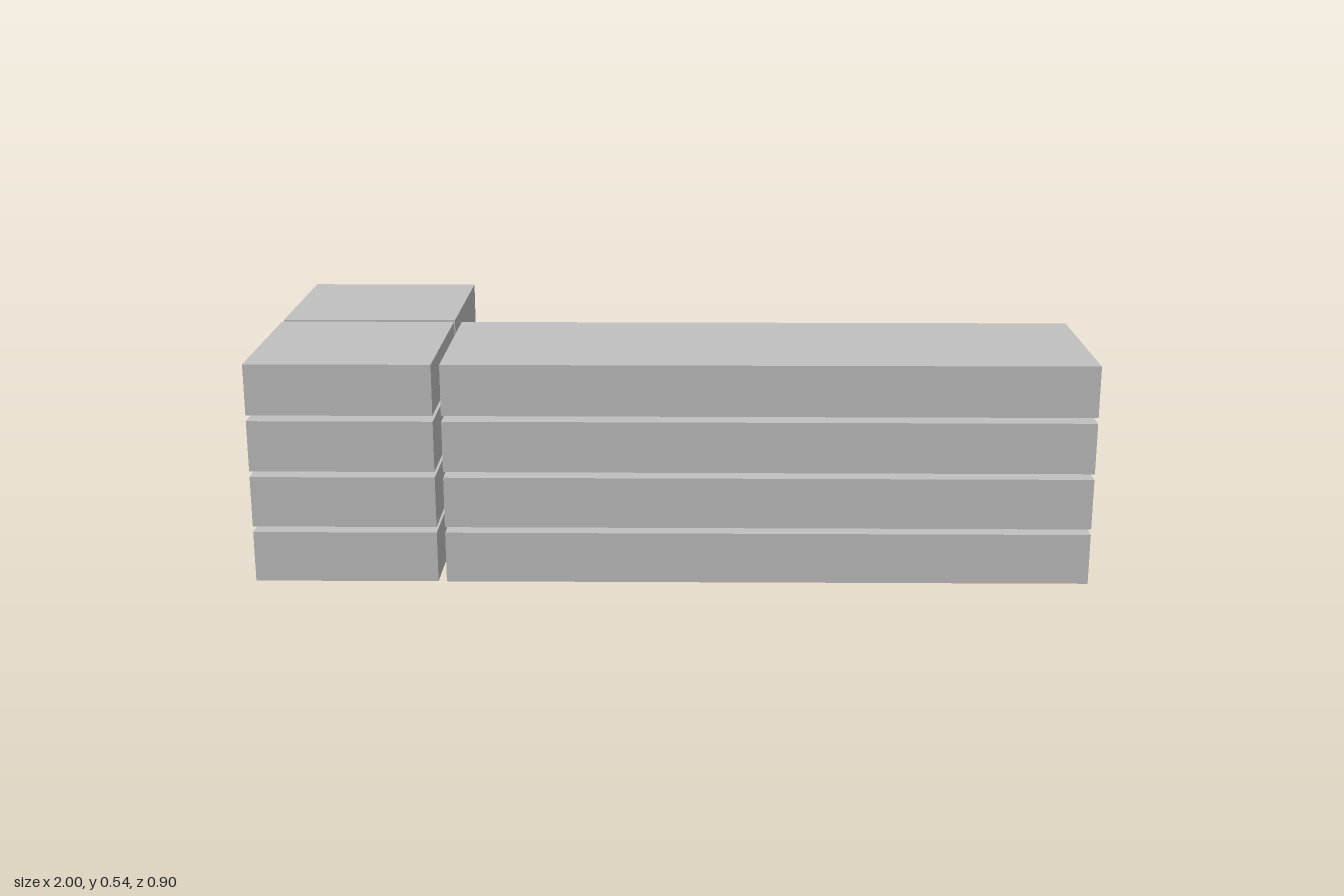
import * as THREE from 'three';

export function createModel() {
  const model = new THREE.Group();
  model.name = 'stackedBlocks';
  const grey = new THREE.MeshStandardMaterial({ color: 0xc0c0c0 });
  grey.name = 'grey';

  const layers = 4, height = 0.124, pitch = 0.138;

  // Footprints of the three stacks that form the L: x range, z range
  const stacks = [
    { name: 'cornerBlock', x: [-1, -0.56], z: [0.01, 0.45] },
    { name: 'backBlock', x: [-1, -0.56], z: [-0.45, -0.01] },
    { name: 'longBlock', x: [-0.54, 1], z: [0.01, 0.45] },
  ];

  for (const { name, x, z } of stacks) {
    const stack = new THREE.Group();
    stack.name = name + 'Stack';
    const block = new THREE.BoxGeometry(x[1] - x[0], height, z[1] - z[0]);
    // Equal layers with a thin open gap between them
    for (let i = 0; i < layers; i++) {
      const mesh = new THREE.Mesh(block, grey);
      mesh.name = name + (i + 1);
      mesh.position.set((x[0] + x[1]) / 2, height / 2 + i * pitch, (z[0] + z[1]) / 2);
      stack.add(mesh);
    }
    model.add(stack);
  }
  return model;
}
